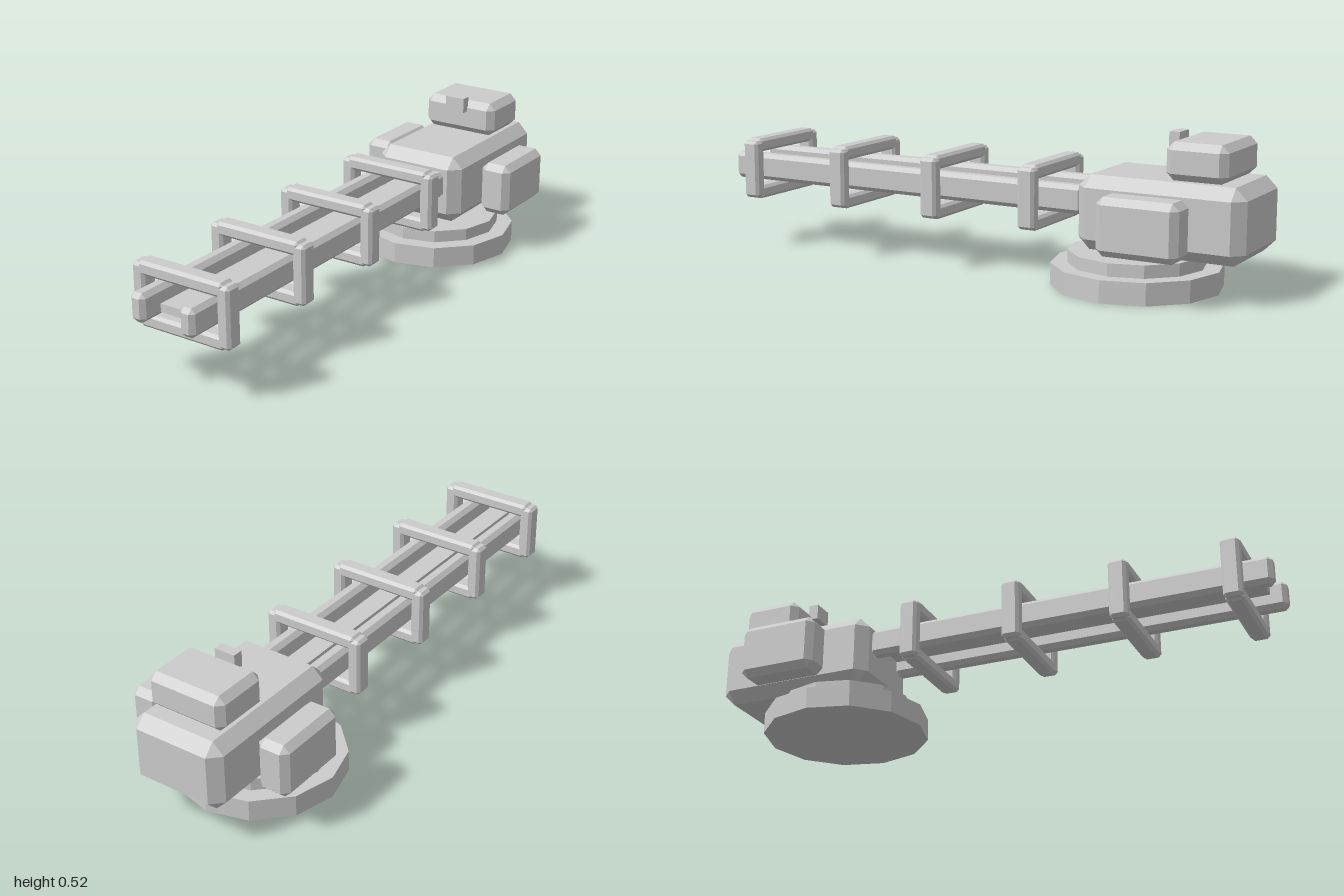
import * as THREE from 'three';
import { ConvexGeometry } from 'three/addons/geometries/ConvexGeometry.js';

const material = new THREE.MeshStandardMaterial({ color: 0xcccccc, flatShading: true });

function addMesh(parent, name, geometry, x, y, z) {
  const mesh = new THREE.Mesh(geometry, material);
  mesh.name = name;
  mesh.position.set(x, y, z);
  parent.add(mesh);
  return mesh;
}

// Box with chamfered edges, given by its min/max on each axis
function chamferBox(parent, name, [x0, x1], [y0, y1], [z0, z1], c) {
  const h = [(x1 - x0) / 2, (y1 - y0) / 2, (z1 - z0) / 2];
  const points = [];
  for (const sx of [-1, 1]) for (const sy of [-1, 1]) for (const sz of [-1, 1]) {
    for (let axis = 0; axis < 3; axis++) {
      const p = h.map((v, i) => (i === axis ? v : v - c));
      points.push(new THREE.Vector3(sx * p[0], sy * p[1], sz * p[2]));
    }
  }
  return addMesh(parent, name, new ConvexGeometry(points), (x0 + x1) / 2, (y0 + y1) / 2, (z0 + z1) / 2);
}

// Range mirrored to the given side of x = 0
const side = (s, a, b) => (s > 0 ? [a, b] : [-b, -a]);

export function createModel() {
  const model = new THREE.Group();
  model.name = 'railTurret';

  // Stepped twelve-sided base
  addMesh(model, 'baseDisc', new THREE.CylinderGeometry(0.287, 0.287, 0.075, 12), 0, 0.0595, -0.575);
  addMesh(model, 'turntable', new THREE.CylinderGeometry(0.23, 0.23, 0.043, 12), 0, 0.1185, -0.575);

  // Housing, upper cabin and sight
  chamferBox(model, 'housing', [-0.172, 0.172], [0.155, 0.402], [-1, -0.425], 0.039);
  chamferBox(model, 'cabin', [-0.144, 0.144], [0.405, 0.528], [-0.932, -0.724], 0.024);
  addMesh(model, 'sight', new THREE.BoxGeometry(0.076, 0.055, 0.036), 0, 0.518, -0.713);

  // Side pods and barrel rails
  for (const s of [1, -1]) {
    const label = s > 0 ? 'left' : 'right';
    chamferBox(model, label + 'Pod', side(s, 0.191, 0.306), [0.174, 0.364], [-0.84, -0.56], 0.023);
    chamferBox(model, label + 'Rail', side(s, 0.067, 0.123), [0.26, 0.356], [-0.43, 1], 0.015);
  }

  // Flat strip between the rails
  addMesh(model, 'centreStrip', new THREE.BoxGeometry(0.076, 0.028, 1.355), 0, 0.308, 0.275);

  // Rectangular frames around the rails
  for (let i = 0; i < 4; i++) {
    const frame = new THREE.Group();
    frame.name = 'frame' + (i + 1);
    frame.position.z = -0.253 + i * 0.378;
    const depth = [-0.031, 0.031];
    chamferBox(frame, 'topBar', [-0.163, 0.163], [0.37, 0.418], depth, 0.01);
    chamferBox(frame, 'bottomBar', [-0.163, 0.163], [0.198, 0.245], depth, 0.01);
    for (const s of [1, -1]) {
      chamferBox(frame, s > 0 ? 'leftBar' : 'rightBar', side(s, 0.139, 0.187), [0.204, 0.41], depth, 0.01);
    }
    model.add(frame);
  }
  return model;
}
